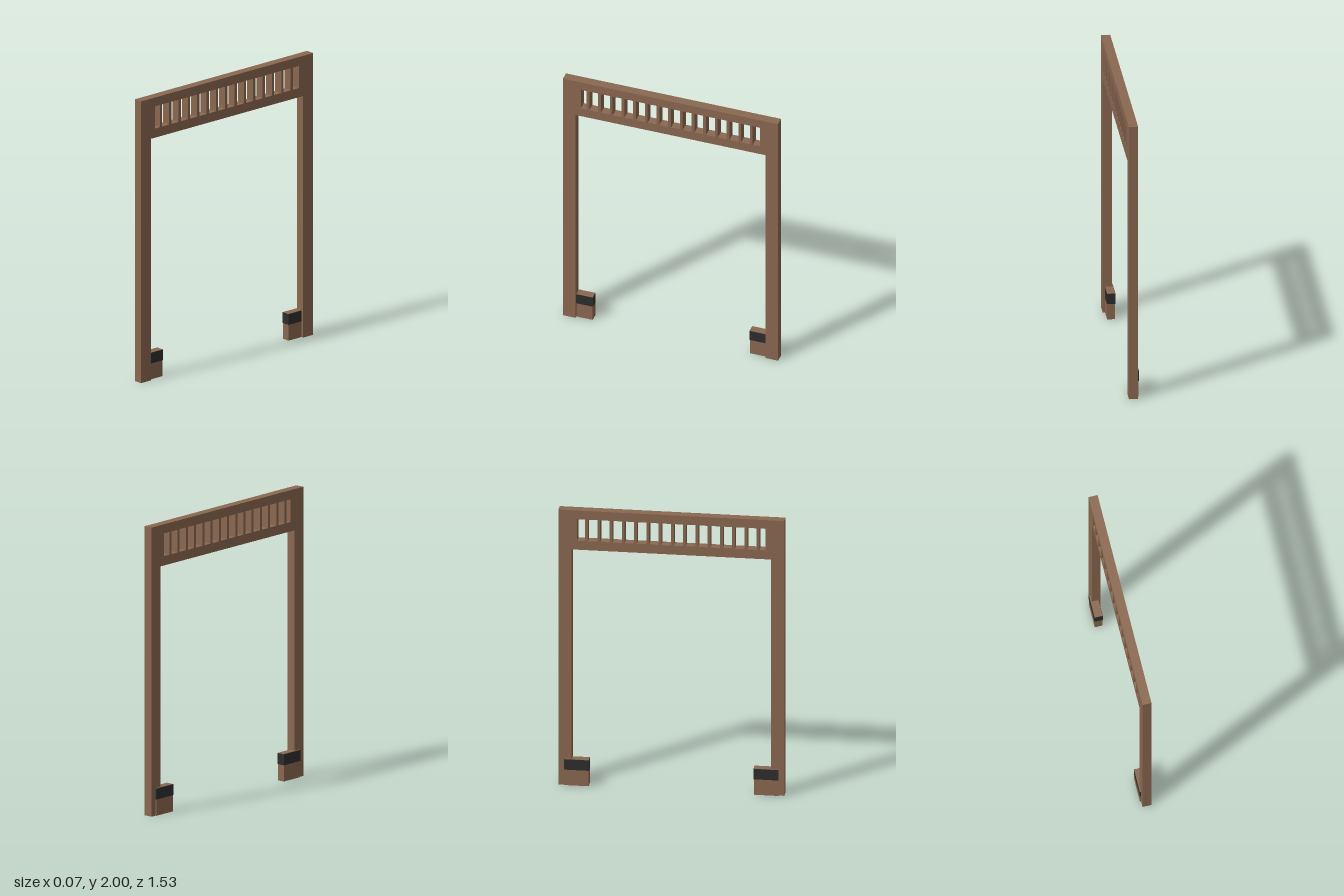
import * as THREE from 'three';

const wood = new THREE.MeshStandardMaterial({ color: 0x8a6850 });
wood.name = 'brown wood';
const black = new THREE.MeshStandardMaterial({ color: 0x2d2d2d });
black.name = 'black band';

// Box given by its minimum and maximum corners
function box(name, material, [x0, y0, z0], [x1, y1, z1]) {
  const mesh = new THREE.Mesh(new THREE.BoxGeometry(x1 - x0, y1 - y0, z1 - z0), material);
  mesh.position.set((x0 + x1) / 2, (y0 + y1) / 2, (z0 + z1) / 2);
  mesh.name = name;
  return mesh;
}

function polygon(Type, points) {
  return new Type(points.map(([a, b]) => new THREE.Vector2(a, b)));
}

export function createModel() {
  const group = new THREE.Group();
  group.name = 'doorFrame';
  const back = -0.026, front = 0.036;

  // Two posts and a header in one piece; shape x runs along -z
  const outline = polygon(THREE.Shape, [
    [-0.765, 0], [-0.675, 0], [-0.675, 1.715], [0.675, 1.715],
    [0.675, 0], [0.765, 0], [0.765, 2], [-0.765, 2],
  ]);

  // Row of vent openings, separated by fifteen slats
  const slats = 15, pitch = 0.083, slatWidth = 0.02, end = 0.638;
  let start = -end;
  for (let i = 0; i <= slats; i++) {
    const slat = -0.587 + i * pitch;
    const stop = i < slats ? slat - slatWidth / 2 : end;
    outline.holes.push(polygon(THREE.Path, [
      [start, 1.78], [start, 1.937], [stop, 1.937], [stop, 1.78],
    ]));
    start = slat + slatWidth / 2;
  }
  const geometry = new THREE.ExtrudeGeometry(outline, { depth: front - back, bevelEnabled: false });
  geometry.rotateY(Math.PI / 2);
  geometry.translate(back, 0, 0);
  const frame = new THREE.Mesh(geometry, wood);
  frame.name = 'frame';
  group.add(frame);

  // Foot blocks on the inside of each post, each wrapped by a band
  for (const side of [1, -1]) {
    const foot = new THREE.Group();
    foot.name = side > 0 ? 'frontFoot' : 'backFoot';
    const near = 0.559, far = 0.725;
    const [z0, z1] = side > 0 ? [near, far] : [-far, -near];
    foot.add(box('footBlock', wood, [-0.034, 0, z0], [0.02, 0.19, z1]));
    foot.add(box('footBand', black, [-0.036, 0.113, z0 - 0.002], [0.022, 0.188, z1 + 0.002]));
    group.add(foot);
  }
  return group;
}
